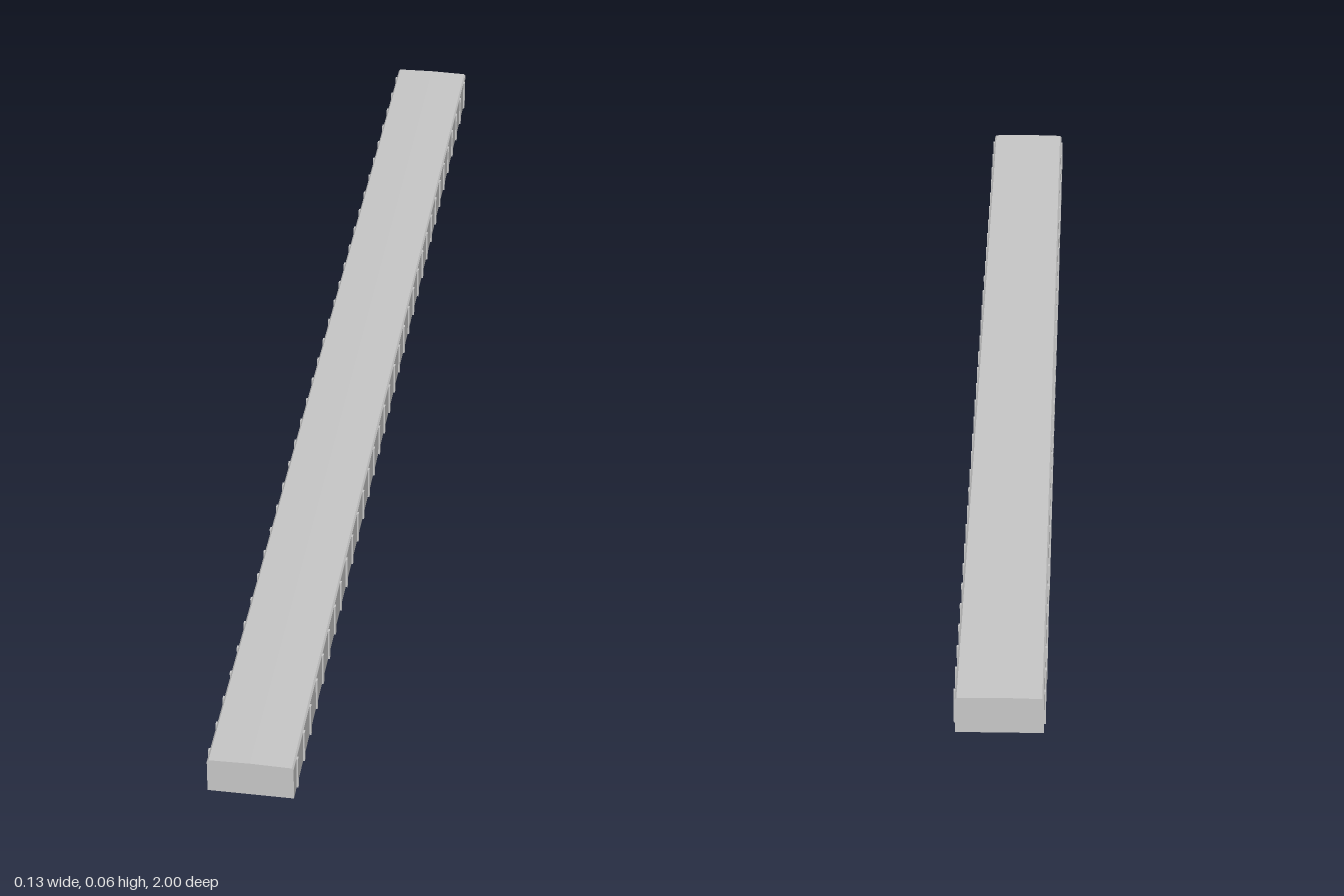
import * as THREE from 'three';

export function createModel() {
  const group = new THREE.Group();
  const grey = new THREE.MeshStandardMaterial({ color: 0xc8c8c8, side: THREE.DoubleSide });
  grey.name = 'light grey';

  const add = (name, geometry, x = 0, y = 0, z = 0) => {
    const mesh = new THREE.Mesh(geometry, grey);
    mesh.name = name;
    mesh.position.set(x, y, z);
    group.add(mesh);
    return mesh;
  };

  // Cross-section, open at the bottom: walls, bevelled eaves and a very shallow ridge
  const profile = [
    [0.063, 0], [0.063, 0.0535], [0.0605, 0.0565], [0, 0.0578],
    [-0.0605, 0.0565], [-0.063, 0.0535], [-0.063, 0],
  ];
  const names = ['leftWall', 'leftEave', 'leftRoof', 'rightRoof', 'rightEave', 'rightWall'];

  // Each side of the cross-section is one long thin panel
  names.forEach((name, i) => {
    const [x0, y0] = profile[i];
    const [x1, y1] = profile[i + 1];
    const panel = new THREE.PlaneGeometry(2, Math.hypot(x1 - x0, y1 - y0));
    panel.rotateY(Math.PI / 2);
    panel.rotateZ(Math.atan2(y1 - y0, x1 - x0) - Math.PI / 2);
    add(name, panel, (x0 + x1) / 2, (y0 + y1) / 2, 0);
  });

  // End walls
  const endShape = new THREE.Shape(profile.map(([x, y]) => new THREE.Vector2(x, y)));
  add('frontEnd', new THREE.ShapeGeometry(endShape), 0, 0, 1);
  add('backEnd', new THREE.ShapeGeometry(endShape), 0, 0, -1).rotation.y = Math.PI;

  // Evenly spaced upright ribs on both long walls
  const ribCount = 34;
  const rib = new THREE.BoxGeometry(0.0025, 0.0535, 0.006);
  for (const side of [1, -1]) {
    for (let i = 0; i < ribCount; i++) {
      const z = 0.973 - (i * 1.946) / (ribCount - 1);
      add(side > 0 ? 'leftRib' : 'rightRib', rib, side * 0.06425, 0.02675, z);
    }
  }
  return group;
}
